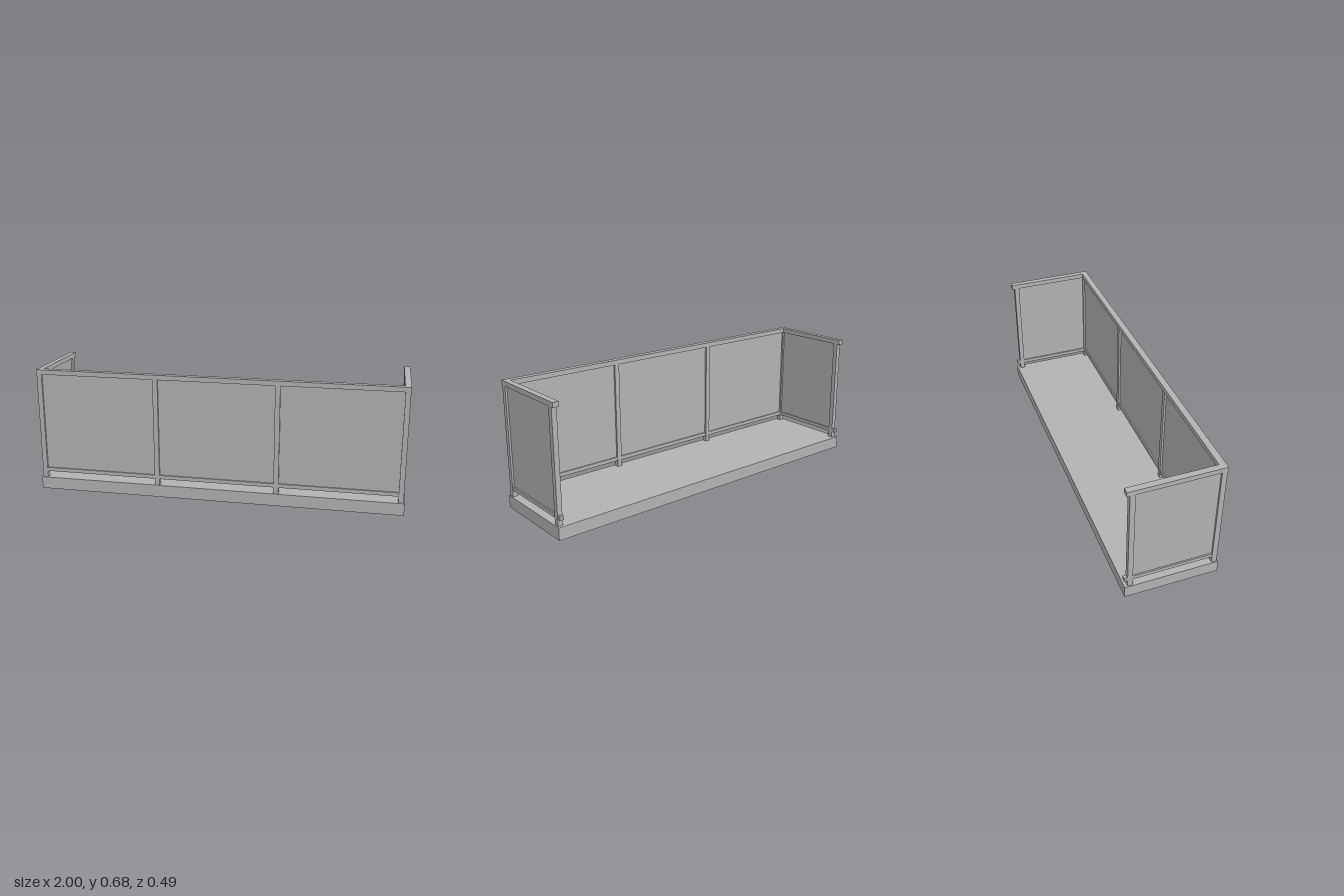
import * as THREE from 'three';

export function createModel() {
  const group = new THREE.Group();
  group.name = 'balcony';
  const grey = new THREE.MeshStandardMaterial({ color: 0xb2b2b2 });
  grey.name = 'grey';

  // Box given by its minimum and maximum corners
  function box(name, x0, x1, y0, y1, z0, z1) {
    const mesh = new THREE.Mesh(new THREE.BoxGeometry(x1 - x0, y1 - y0, z1 - z0), grey);
    mesh.position.set((x0 + x1) / 2, (y0 + y1) / 2, (z0 + z1) / 2);
    mesh.name = name;
    group.add(mesh);
  }

  const floorTop = 0.067, railBottom = 0.658, railTop = 0.684;
  const barBottom = 0.101, barTop = 0.122;
  const back = -0.247, postX = 0.98, postZ = 0.2275, half = 0.0135;

  // Floor slab
  box('floorSlab', -1, 1, 0, floorTop, back, 0.247);

  // Front posts
  const xs = [-postX, -0.3275, 0.3275, postX];
  for (const x of xs) {
    box('frontPost', x - half, x + half, floorTop, railBottom, postZ - half, postZ + half);
  }

  // Front bars and panels between the posts
  for (let i = 0; i < 3; i++) {
    const a = xs[i] + half, b = xs[i + 1] - half;
    box('frontLowerBar', a, b, barBottom, barTop, postZ - 0.0105, postZ + 0.0105);
    box('frontPanel', a, b, barTop, railBottom, postZ - 0.003, postZ + 0.003);
  }

  // Handrail across the front
  box('frontHandrail', -0.995, 0.995, railBottom, railTop, 0.209, 0.243);

  // Both sides: back post, lower bar with a stub past the post, panel and handrail
  for (const s of [-1, 1]) {
    const x = s * postX;
    box('backPost', x - half, x + half, floorTop, railBottom, -0.2305, -0.2035);
    box('sideLowerBar', x - 0.0105, x + 0.0105, barBottom, barTop, back, postZ - half);
    box('sidePanel', x - 0.003, x + 0.003, barTop, railBottom, -0.2035, postZ - half);
    box('sideHandrail', s * 0.979 - 0.016, s * 0.979 + 0.016, railBottom, railTop, back, 0.209);
  }
  return group;
}
